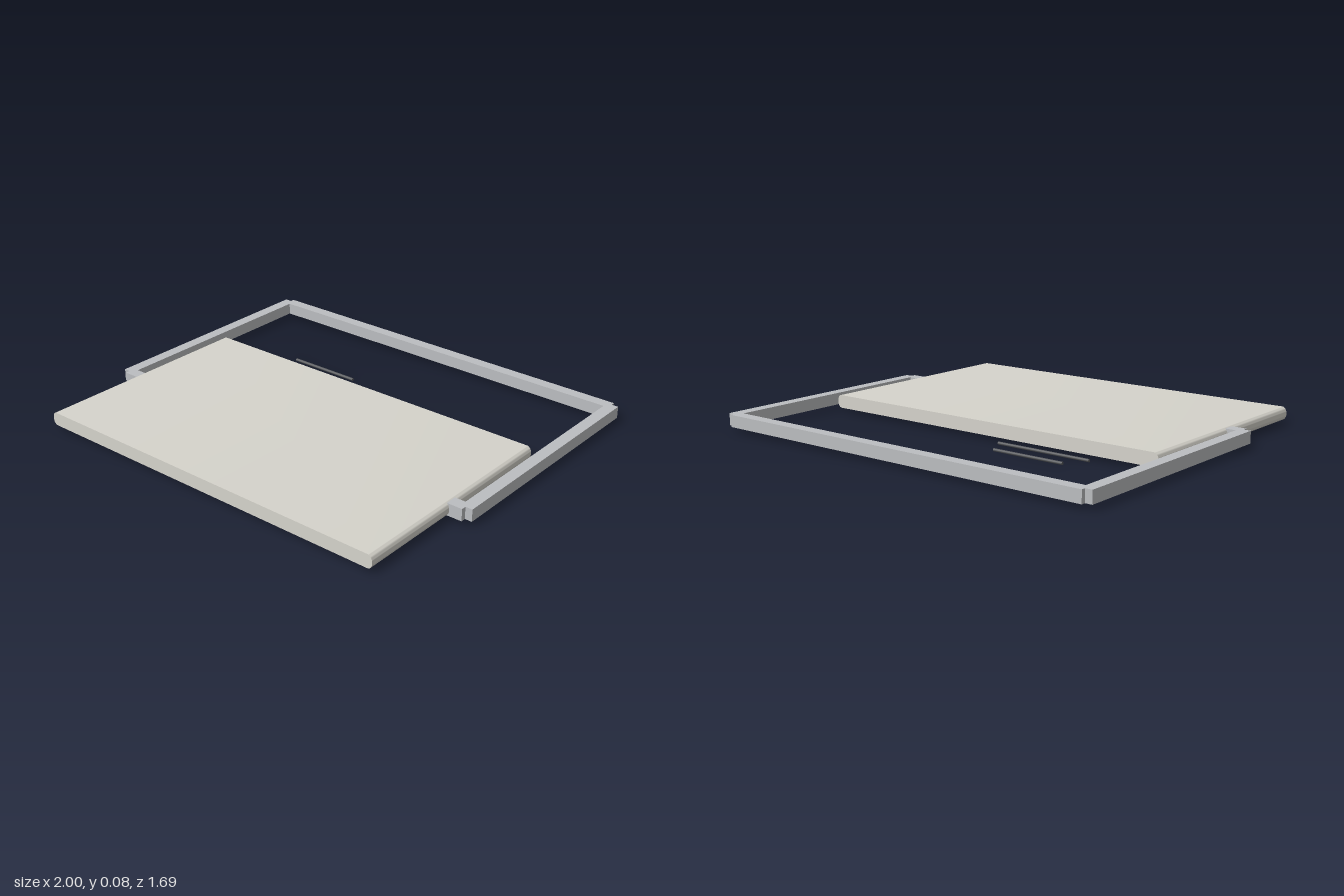
import * as THREE from 'three';
import { toCreasedNormals } from 'three/addons/utils/BufferGeometryUtils.js';

const mat = (color) => new THREE.MeshStandardMaterial({ color });

export function createModel() {
  const model = new THREE.Group();
  const add = (name, geometry, material) => {
    const mesh = new THREE.Mesh(geometry, material);
    mesh.name = name;
    model.add(mesh);
    return mesh;
  };

  // Slab: thin cross-section with bulging side edges, extruded front to back
  const halfW = 0.885, bulge = 0.022, halfH = 0.031;
  const section = new THREE.Shape();
  section.moveTo(-halfW, -halfH);
  section.lineTo(halfW, -halfH);
  section.absellipse(halfW, 0, bulge, halfH, -Math.PI / 2, Math.PI / 2, false);
  section.lineTo(-halfW, halfH);
  section.absellipse(-halfW, 0, bulge, halfH, Math.PI / 2, Math.PI * 1.5, false);
  const slabGeo = new THREE.ExtrudeGeometry(section, { depth: 1.087, bevelEnabled: false, curveSegments: 12 });
  const slab = add('slab', toCreasedNormals(slabGeo, 0.6), mat(0xd6d4cc));
  slab.position.set(0, 0.048, -0.245);

  // Frame: U-shaped rail with notched corners and inward hooks gripping the slab
  const half = [
    [0.967, -0.845], [0.967, -0.825], [1, -0.825], [1, 0.332], [0.967, 0.332],
    [0.967, 0.355], [0.893, 0.355], [0.893, 0.3], [0.945, 0.3], [0.945, -0.79],
  ];
  const outline = [...half, ...half.map(([x, z]) => [-x, z]).reverse()];
  const frameShape = new THREE.Shape(outline.map(([x, z]) => new THREE.Vector2(x, -z)));
  const frameGeo = new THREE.ExtrudeGeometry(frameShape, { depth: 0.056, bevelEnabled: false });
  frameGeo.rotateX(-Math.PI / 2);
  add('frame', frameGeo, mat(0xbcbec1)).position.y = 0.02;

  // Five slim rods under the slab, shortening towards the back
  const rodMat = mat(0x55575a);
  for (let i = 0; i < 5; i++) {
    const rod = new THREE.CylinderGeometry(0.007, 0.007, 0.828 - i * 0.117, 12);
    rod.rotateZ(Math.PI / 2);
    add(`rod${i + 1}`, rod, rodMat).position.set(-0.364, 0.007, 0.02 - i * 0.1025);
  }
  return model;
}
